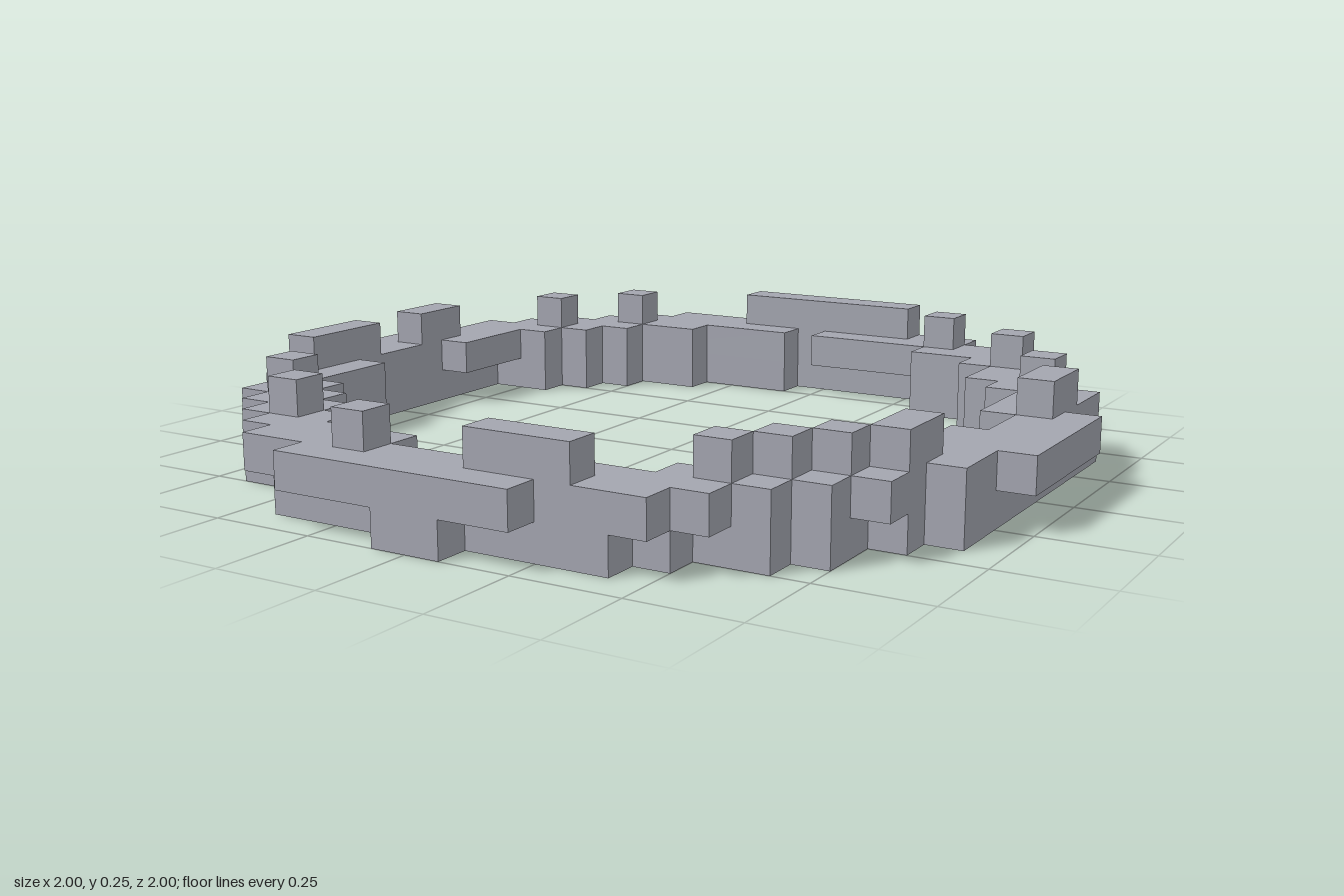
import * as THREE from 'three';
import { mergeGeometries } from 'three/addons/utils/BufferGeometryUtils.js';

const U = 1 / 12; // one block

// Main ring plan: for each row of blocks, the runs [start, end) along x
const PLAN = {
  '-12': [[-3, 2]], '-11': [[-6, 5]], '-10': [[-7, -1], [0, 7]],
  '-9': [[-8, -4], [4, 8]], '-8': [[-9, -6], [6, 9]],
  '-7': [[-10, -7], [7, 9]], '-6': [[-11, -8], [7, 9]],
  '-5': [[-11, -9], [8, 11]], '-4': [[-11, -9], [9, 11]],
  '-3': [[-12, -9], [9, 11]], '-2': [[-12, -10], [9, 12]],
  '-1': [[-12, -10], [10, 12]], '0': [[-12, -10], [10, 12]],
  '1': [[-12, -10], [9, 12]], '2': [[-12, -9], [9, 12]],
  '3': [[-11, -9], [9, 11]], '4': [[-11, -9], [8, 11]],
  '5': [[-10, -8], [8, 10]], '6': [[-10, -7], [7, 10]],
  '7': [[-9, -6], [6, 9]], '8': [[-8, -5], [5, 8]],
  '9': [[-7, -2], [2, 7]], '10': [[-6, 6]], '11': [[-4, 3]],
};

// Raised blocks: x start, x end, z start, z end
const RAISED = [
  [-3, 3, -11, -10], [4, 5, -10, -9], [7, 8, -8, -7], [9, 10, -5, -4],
  [10, 11, -3, -1], [9, 10, 4, 6], [8, 9, 6, 7], [7, 8, 7, 8], [6, 7, 8, 9],
  [1, 4, 10, 11], [-3, -2, 10, 11], [-7, -6, 8, 9], [-9, -8, 6, 7],
  [-11, -10, 1, 4], [-11, -10, -3, -1], [-9, -8, -7, -6], [-7, -6, -9, -8],
];

// The bottom course is narrower: the ring overhangs it outside and in places inside
function hasFooting(x, z) {
  if (z === 11) return x >= -1 && x < 1;
  if (x === -12) return z >= -1 && z < 1;
  if (z === 9 && x >= -6 && x < -2) return false;
  if (x === -10 && z >= -5 && z < -2) return false;
  if (z === -10 && x >= 0 && x < 5) return false;
  if (x === 9 && z >= 1 && z < 4) return false;
  return Math.hypot(x + 0.5, z + 0.5) < 11.45;
}

// A box spanning whole blocks in one course
function block(x0, x1, z0, z1, course) {
  return new THREE.BoxGeometry((x1 - x0) * U, U, (z1 - z0) * U)
    .translate((x0 + x1) / 2 * U, (course + 0.5) * U, (z0 + z1) / 2 * U);
}

export function createModel() {
  const group = new THREE.Group();
  group.name = 'blockRing';
  const stone = new THREE.MeshStandardMaterial({ color: 0xa3a5af });
  stone.name = 'paleGrey';

  const bottom = [], middle = [];
  for (const [row, runs] of Object.entries(PLAN)) {
    const z = Number(row);
    for (const [x0, x1] of runs) {
      middle.push(block(x0, x1, z, z + 1, 1));
      // Gather neighbouring footing blocks into one box
      let start = null;
      for (let x = x0; x <= x1; x++) {
        const solid = x < x1 && hasFooting(x, z);
        if (solid && start === null) start = x;
        if (!solid && start !== null) {
          bottom.push(block(start, x, z, z + 1, 0));
          start = null;
        }
      }
    }
  }
  const top = RAISED.map(([x0, x1, z0, z1]) => block(x0, x1, z0, z1, 2));

  const courses = { bottomCourse: bottom, mainRing: middle, raisedBlocks: top };
  for (const [name, parts] of Object.entries(courses)) {
    const mesh = new THREE.Mesh(mergeGeometries(parts), stone);
    mesh.name = name;
    group.add(mesh);
  }
  return group;
}
